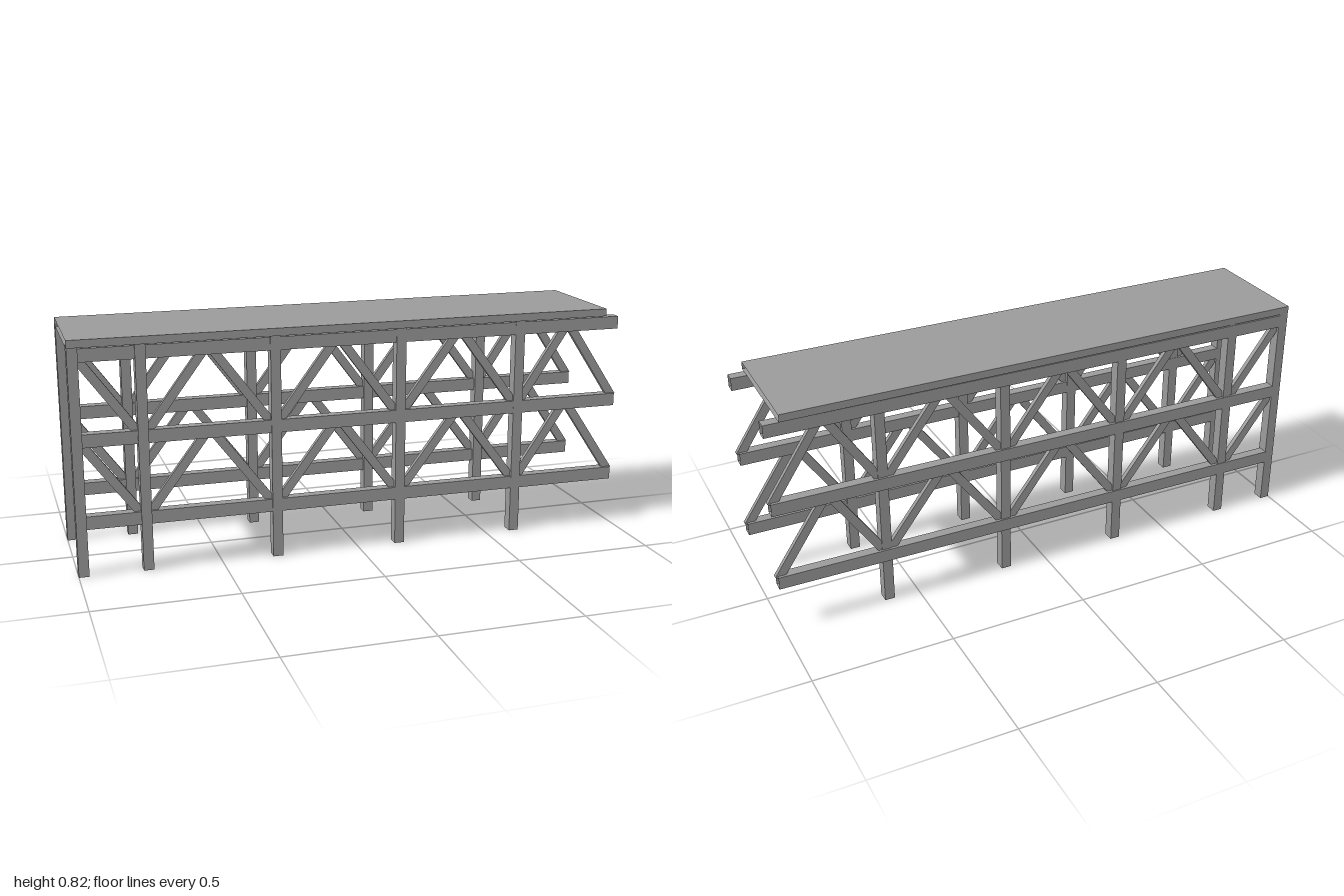
import * as THREE from 'three';

const material = new THREE.MeshStandardMaterial({ color: 0x9a9a9a, side: THREE.DoubleSide });

// Hollow, open-ended rectangular beam from a to b
function beam(name, a, b, height, depth) {
  const start = new THREE.Vector3(...a), end = new THREE.Vector3(...b);
  const dir = end.clone().sub(start);
  const geometry = new THREE.BoxGeometry(dir.length(), height, depth);
  geometry.setIndex(Array.from(geometry.index.array).slice(12)); // drop both end caps
  geometry.clearGroups();
  dir.normalize();
  const up = new THREE.Vector3(0, 0, 1).cross(dir).normalize();
  const side = dir.clone().cross(up);
  geometry.applyMatrix4(new THREE.Matrix4().makeBasis(dir, up, side));
  const mesh = new THREE.Mesh(geometry, material);
  mesh.name = name;
  mesh.position.copy(start).add(end).multiplyScalar(0.5);
  return mesh;
}

// The two trusses run very slightly askew: z at the left end and at the right end
const skew = ([z0, z1], x) => THREE.MathUtils.lerp(z0, z1, (x + 1) / 2);
const trusses = [
  { name: 'frontTruss', rail: [0.179, 0.19], post: [0.183, 0.187] },
  { name: 'backTruss', rail: [-0.197, -0.179], post: [-0.194, -0.168] },
];

const postX = [-0.982, -0.76, -0.299, 0.156, 0.61];
const railY = [0.19, 0.478, 0.77];

// Braces as [x at the bottom, x at the top]
const braces = [[-0.774, -0.975]];
for (const x of [-0.53, -0.072, 0.382]) braces.push([x - 0.216, x - 0.01], [x + 0.216, x + 0.01]);
braces.push([0.615, 0.798], [0.995, 0.812]);

function createTruss({ name, rail, post }) {
  const truss = new THREE.Group();
  truss.name = name;

  // Upright posts
  for (const x of postX) {
    const z = skew(post, x);
    truss.add(beam('post', [x, 0, z], [x, 0.802, z], 0.036, 0.041));
  }

  // Long horizontal rails
  for (const y of railY) {
    truss.add(beam('rail', [-0.968, y, skew(rail, -0.968)], [1, y, rail[1]], 0.046, 0.037));
  }

  // Diagonal braces on both tiers
  for (const tier of [0, 1]) {
    for (const [low, high] of braces) {
      truss.add(beam('brace',
        [low, railY[tier] + 0.012, skew(rail, low)],
        [high, railY[tier + 1] - 0.003, skew(rail, high)], 0.031, 0.017));
    }
  }
  return truss;
}

export function createModel() {
  const model = new THREE.Group();
  model.name = 'trestleBridge';
  for (const truss of trusses) model.add(createTruss(truss));

  // Flat deck across both trusses
  model.add(beam('deck', [-1, 0.8115, -0.004], [0.947, 0.8115, 0.005], 0.027, 0.425));
  return model;
}
